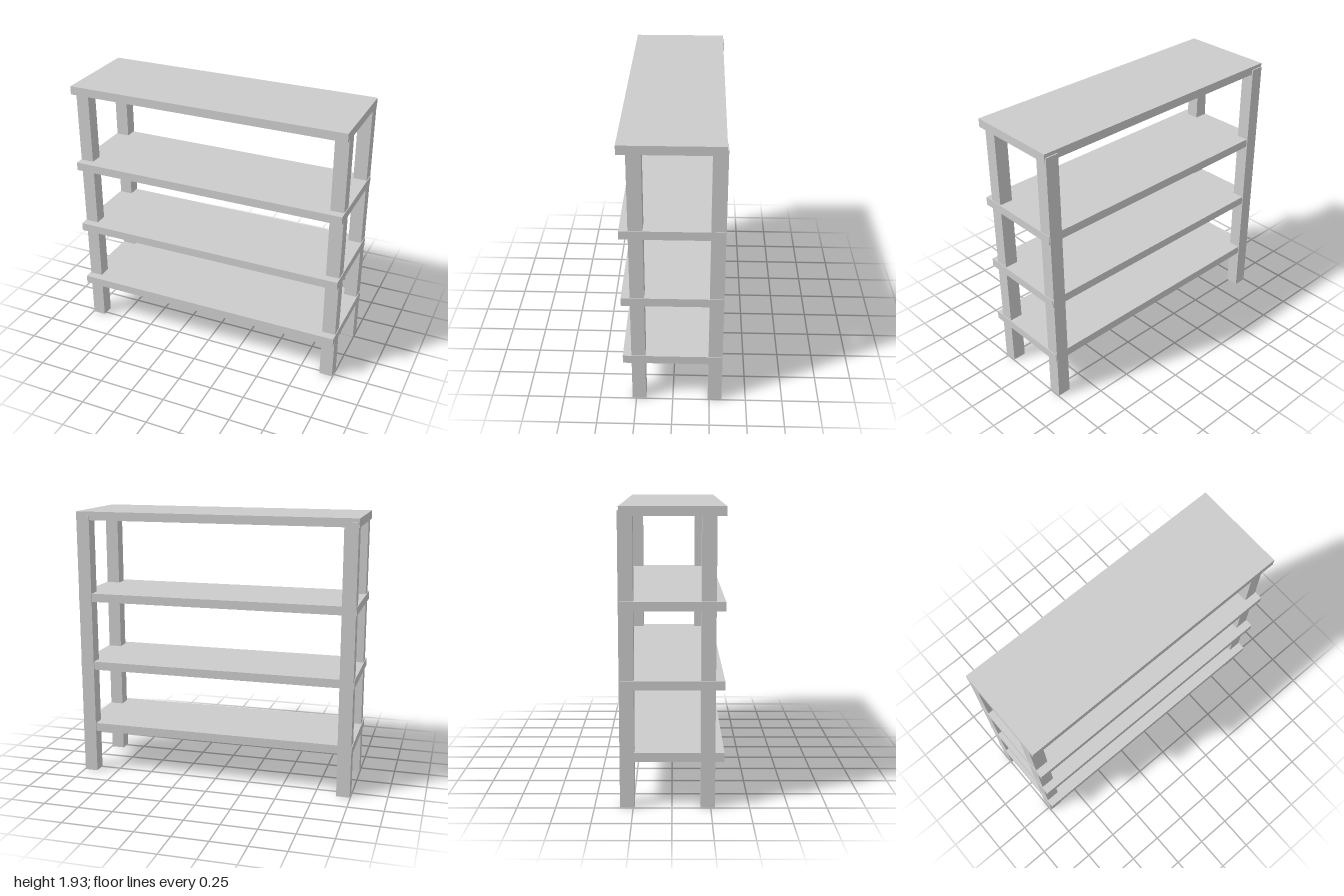
import * as THREE from 'three';

export function createModel() {
  const group = new THREE.Group();
  const material = new THREE.MeshStandardMaterial({ color: 0xcccccc, flatShading: true });

  // Adds a box spanning the given ranges on each axis
  function addBox(name, [x0, x1], [y0, y1], [z0, z1]) {
    const mesh = new THREE.Mesh(new THREE.BoxGeometry(x1 - x0, y1 - y0, z1 - z0), material);
    mesh.position.set((x0 + x1) / 2, (y0 + y1) / 2, (z0 + z1) / 2);
    mesh.name = name;
    group.add(mesh);
  }

  // Four full-width shelves, from the bottom up
  const shelfThickness = 0.06;
  [0.31, 0.78, 1.284, 1.868].forEach((y, i) => {
    addBox(`shelf${i + 1}`, [-1, 1], [y, y + shelfThickness], [-0.327, 0.335]);
  });

  // Square posts: the back pair stands slightly proud of the shelves
  for (const [side, x] of [['right', [-0.995, -0.9]], ['left', [0.9, 0.995]]]) {
    addBox(`${side}FrontPost`, x, [0, 1.9], [0.184, 0.277]);
    addBox(`${side}BackPost`, x, [0, 1.903], [-0.335, -0.241]);
  }

  return group;
}
